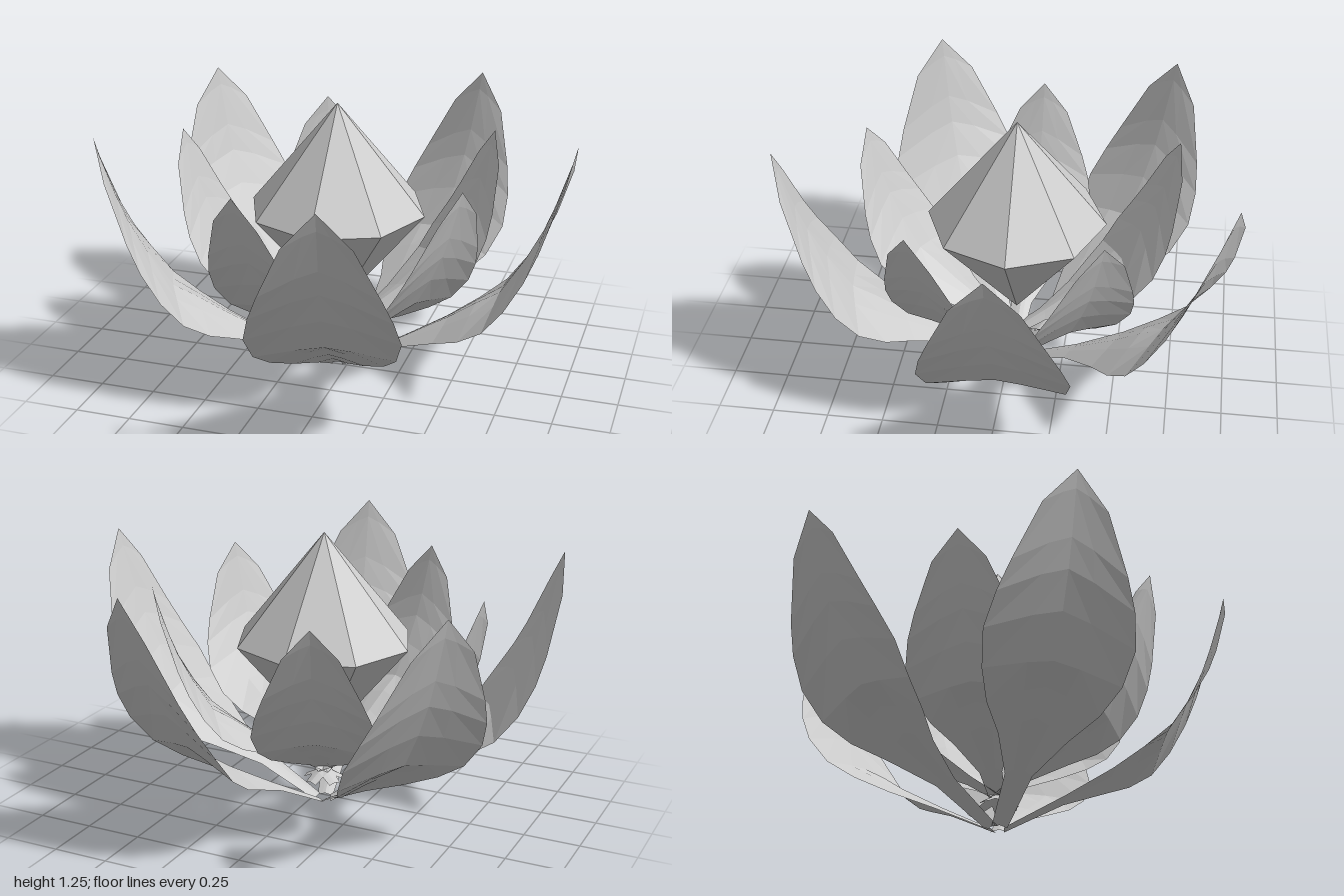
import * as THREE from 'three';

const CENTRE_X = -0.052, CENTRE_Z = -0.033;

// Petal rows from base to tip: midrib radius and height, edge radius and height, half width
const ROWS = [
  [0.03, 0.01, 0.03, 0.0, 0.035],
  [0.30, 0.165, 0.29, 0.14, 0.06],
  [0.52, 0.30, 0.48, 0.23, 0.15],
  [0.64, 0.385, 0.61, 0.30, 0.24],
  [0.745, 0.45, 0.725, 0.385, 0.295],
  [0.85, 0.62, 0.82, 0.51, 0.32],
  [0.925, 0.77, 0.895, 0.64, 0.29],
  [0.97, 0.89, 0.945, 0.76, 0.245],
  [1.03, 1.08, 1.02, 1.0, 0.14],
  [1.05, 1.16, 1.05, 1.16, 0.0],
];

// Columns across a petal: sideways fraction, blend from midrib to edge
const COLUMNS = [[-1, 1], [-0.38, 0.3], [0, 0], [0.38, 0.3], [1, 1]];

function petalGeometry() {
  const positions = [], indices = [];
  for (const [mx, my, ex, ey, w] of ROWS) {
    for (const [side, blend] of COLUMNS) {
      positions.push(mx + (ex - mx) * blend, my + (ey - my) * blend, side * w);
    }
  }
  const n = COLUMNS.length;
  for (let r = 0; r < ROWS.length - 1; r++) {
    for (let c = 0; c < n - 1; c++) {
      const a = r * n + c, b = a + 1, d = a + n, e = d + 1;
      // the last row closes to the tip, so one triangle is enough there
      if (r === ROWS.length - 2) indices.push(a, b, d);
      // mirror the diagonals about the midrib
      else if (c < n / 2 - 1) indices.push(a, b, e, a, e, d);
      else indices.push(a, b, d, b, e, d);
    }
  }
  const geometry = new THREE.BufferGeometry();
  geometry.setAttribute('position', new THREE.Float32BufferAttribute(positions, 3));
  geometry.setIndex(indices);
  geometry.computeVertexNormals();
  return geometry;
}

export function createModel() {
  const model = new THREE.Group();
  model.name = 'lotusFlower';
  const flower = new THREE.Group();
  flower.name = 'flower';
  flower.position.set(CENTRE_X, 0, CENTRE_Z);
  model.add(flower);

  const petalMaterial = new THREE.MeshStandardMaterial({
    color: 0xcccccc, flatShading: true, side: THREE.DoubleSide,
  });
  const outer = petalGeometry();
  // Inner petals are smaller, raised, and their stalks cross at the centre
  const inner = outer.clone().scale(0.82, 0.82, 0.82).translate(-0.113, 0.1, 0);

  // Two slightly uneven rings of five petals
  function addRing(name, geometry, turn) {
    const ring = new THREE.Group();
    ring.name = name + 'Petals';
    [0.5, 65.5, 141.6, 207.8, 283.2].forEach((angle, i) => {
      const petal = new THREE.Mesh(geometry, petalMaterial);
      petal.name = `${name}Petal${i + 1}`;
      petal.rotation.y = THREE.MathUtils.degToRad(angle + turn);
      ring.add(petal);
    });
    flower.add(ring);
  }
  addRing('outer', outer, 0);
  addRing('inner', inner, -30.4);

  // Eight-sided double pyramid in the middle
  const profile = [[0, 0.285], [0.4, 0.77], [0, 1.255]].map(([r, y]) => new THREE.Vector2(r, y));
  const crystal = new THREE.Mesh(
    new THREE.LatheGeometry(profile, 8),
    new THREE.MeshStandardMaterial({ color: 0xcccccc, flatShading: true }),
  );
  crystal.name = 'crystal';
  flower.add(crystal);

  return model;
}
